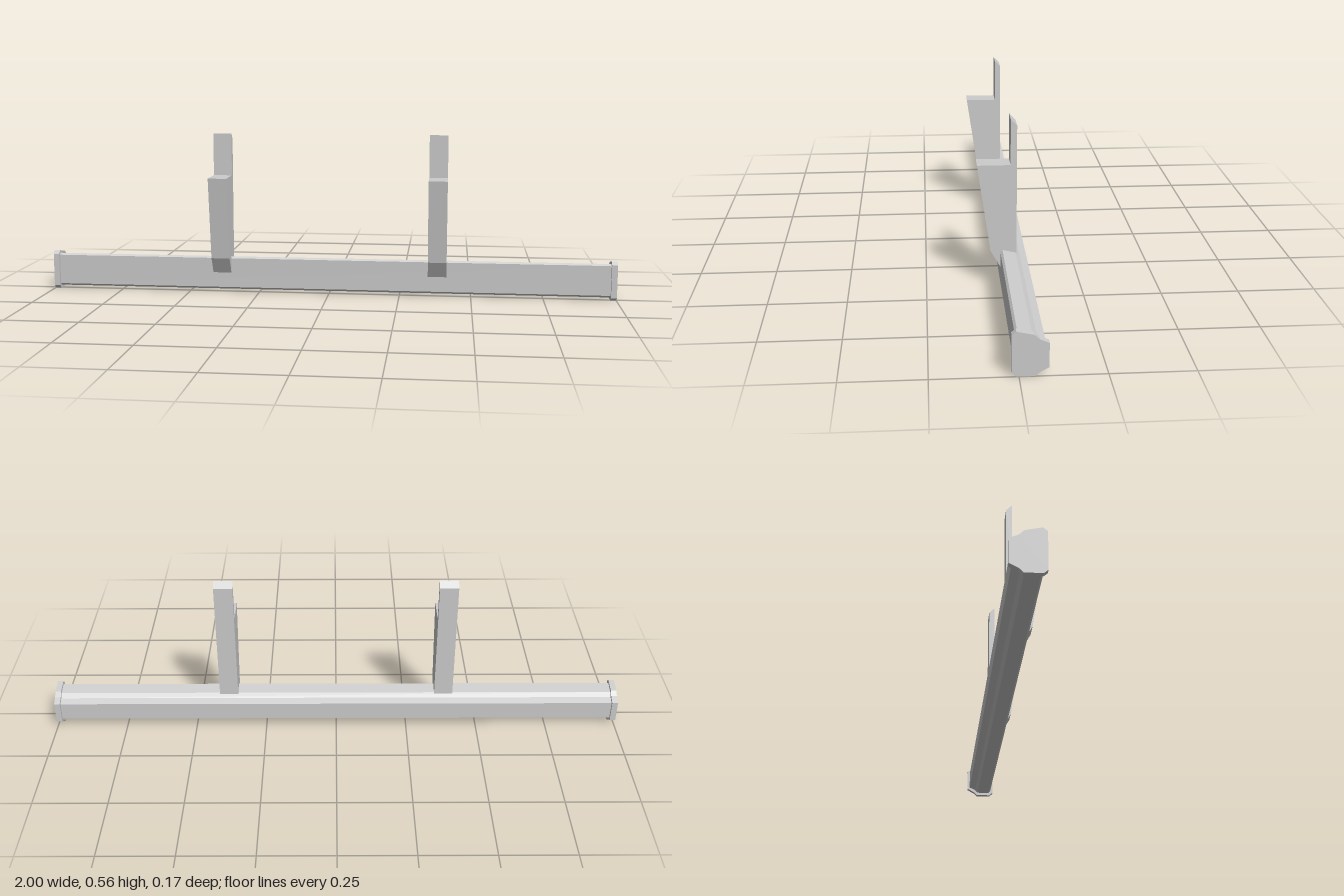
import * as THREE from 'three';

const material = new THREE.MeshStandardMaterial({ color: 0xcccccc, flatShading: true });

// Extrudes a [z, y] profile along x, centred on the given x.
function bar(name, profile, width, x) {
  const shape = new THREE.Shape(profile.map(([z, y]) => new THREE.Vector2(z, y)));
  const geometry = new THREE.ExtrudeGeometry(shape, { depth: width, bevelEnabled: false });
  geometry.translate(0, 0, -width / 2);
  geometry.rotateY(-Math.PI / 2);
  const mesh = new THREE.Mesh(geometry, material);
  mesh.name = name;
  mesh.position.x = x;
  return mesh;
}

const capProfile = [
  [0.021, 0.011], [0.021, 0.127], [0.008, 0.138], [-0.042, 0.127], [-0.057, 0.113],
  [-0.084, 0.101], [-0.084, 0.026], [-0.057, 0.012], [-0.045, 0], [0.008, 0],
];

// The housing follows the cap outline, set in a little on every side.
const housingProfile = [
  [0.011, 0.017], [0.011, 0.122], [0.004, 0.128], [-0.038, 0.118], [-0.052, 0.105],
  [-0.075, 0.095], [-0.075, 0.032], [-0.052, 0.021], [-0.041, 0.01], [0.004, 0.01],
];

// Wedge-shaped bracket with a thin upright tongue at the back.
const bracketProfile = [
  [0.011, 0.07], [0.043, 0.127], [0.085, 0.416], [-0.021, 0.416],
  [-0.021, 0.565], [-0.041, 0.545], [-0.041, 0.112], [0.005, 0.112],
];

export function createModel() {
  const model = new THREE.Group();
  model.name = 'wallMountedHousing';
  model.add(bar('housing', housingProfile, 1.97, 0));
  for (const [side, s] of [['left', 1], ['right', -1]]) {
    model.add(bar(side + 'EndCap', capProfile, 0.02, s * 0.99));
    model.add(bar(side + 'Bracket', bracketProfile, 0.065, s * 0.382));
  }
  return model;
}
